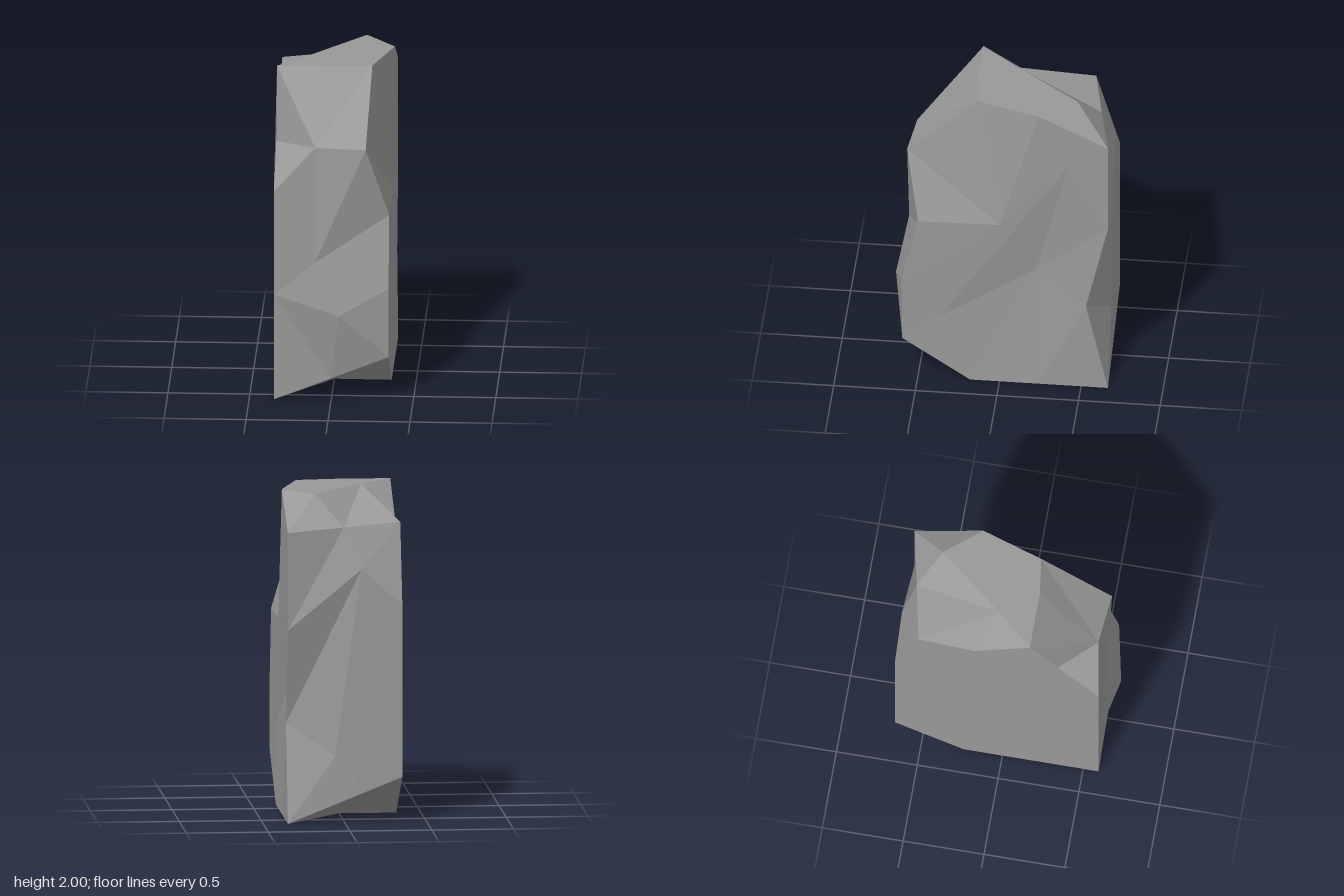
import * as THREE from 'three';

// Cross-sections from the base up. Each runs front-left, front, front-right,
// right, rear of right, back-right, back, back-left, left.
const rings = [
  [[-.35, 0, .595], [0, .14, .595], [.35, .28, .595], [.35, 0, .18], [.35, 0, -.24],
    [.35, 0, -.665], [0, .14, -.665], [-.35, .28, -.665], [-.35, 0, -.24]],
  [[-.35, .67, .595], [.05, .56, .665], [.35, .72, .6], [.34, .45, .37], [.3, .82, -.22],
    [.35, .6, -.53], [.06, .41, -.655], [-.35, .8, -.665], [-.35, .7, -.1]],
  [[-.35, 1.33, .595], [-.1, .88, .6], [.35, 1.16, .5], [.35, 1.17, 0], [.35, 1.63, -.42],
    [.35, 1.19, -.665], [-.1, 1.56, -.665], [-.35, 1.34, -.665], [-.35, 1.2, -.1]],
  [[-.35, 1.55, .265], [-.1, 1.6, .55], [.21, 1.6, .58], [.35, 1.17, 0], [.35, 1.895, -.45],
    [.35, 1.79, -.665], [0, 1.81, -.59], [-.35, 1.83, -.52], [-.35, 1.78, -.18]],
  [[-.35, 2, .17], [0, 2, .17], [.23, 2, .14], [.35, 2, -.24], [.26, 2, -.35],
    [.17, 2, -.46], [.01, 2, -.26], [-.15, 2, -.06], [-.15, 2, -.06]],
];

// Columns, for each band between rings, whose crease leans the other way
const flipped = [[0, 1], [], [2], [0, 2, 3, 5]];

function buildRock() {
  const positions = [];
  const A = new THREE.Vector3(), B = new THREE.Vector3(), C = new THREE.Vector3();

  // Adds one facet, leaving out any that collapse to a line
  const facet = (a, b, c) => {
    A.fromArray(a); B.fromArray(b); C.fromArray(c);
    const area = B.clone().sub(A).cross(C.clone().sub(A)).length();
    if (area > 1e-5) positions.push(...a, ...b, ...c);
  };
  const fan = (pts) => {
    for (let i = 1; i < pts.length - 1; i++) facet(pts[0], pts[i], pts[i + 1]);
  };

  // Sides
  for (let r = 0; r < rings.length - 1; r++) {
    const low = rings[r], high = rings[r + 1], n = low.length;
    for (let i = 0; i < n; i++) {
      const j = (i + 1) % n;
      if (flipped[r].includes(i)) fan([low[j], high[j], high[i], low[i]]);
      else fan([low[i], low[j], high[j], high[i]]);
    }
  }

  // Thin fin closing the groove in the upper front-left corner, seen from both sides
  const fin = [rings[4][0], rings[3][0], rings[2][0]];
  fan(fin);
  fan([...fin].reverse());

  // Flat top, fanned from its inner corner
  const top = rings[rings.length - 1];
  fan([7, 0, 1, 2, 3, 4, 5, 6].map((i) => top[i]));

  // Underside: flat middle, with a hollow chip rising to the front and the back
  const [a, b, c, d, k, e, f, g, h] = rings[0];
  const front = [0, 0, .175], back = [0, 0, -.24];
  fan([front, a, h, back, e, k, d]);
  fan([front, d, c, b, a]);
  fan([back, h, g, f, e]);

  const geometry = new THREE.BufferGeometry();
  geometry.setAttribute('position', new THREE.Float32BufferAttribute(positions, 3));
  geometry.computeVertexNormals();
  return geometry;
}

export function createModel() {
  const stone = new THREE.MeshStandardMaterial({ color: 0x999999, flatShading: true });
  stone.name = 'grey stone';
  const rock = new THREE.Mesh(buildRock(), stone);
  rock.name = 'rock';
  const group = new THREE.Group();
  group.name = 'standing rock';
  group.add(rock);
  return group;
}
